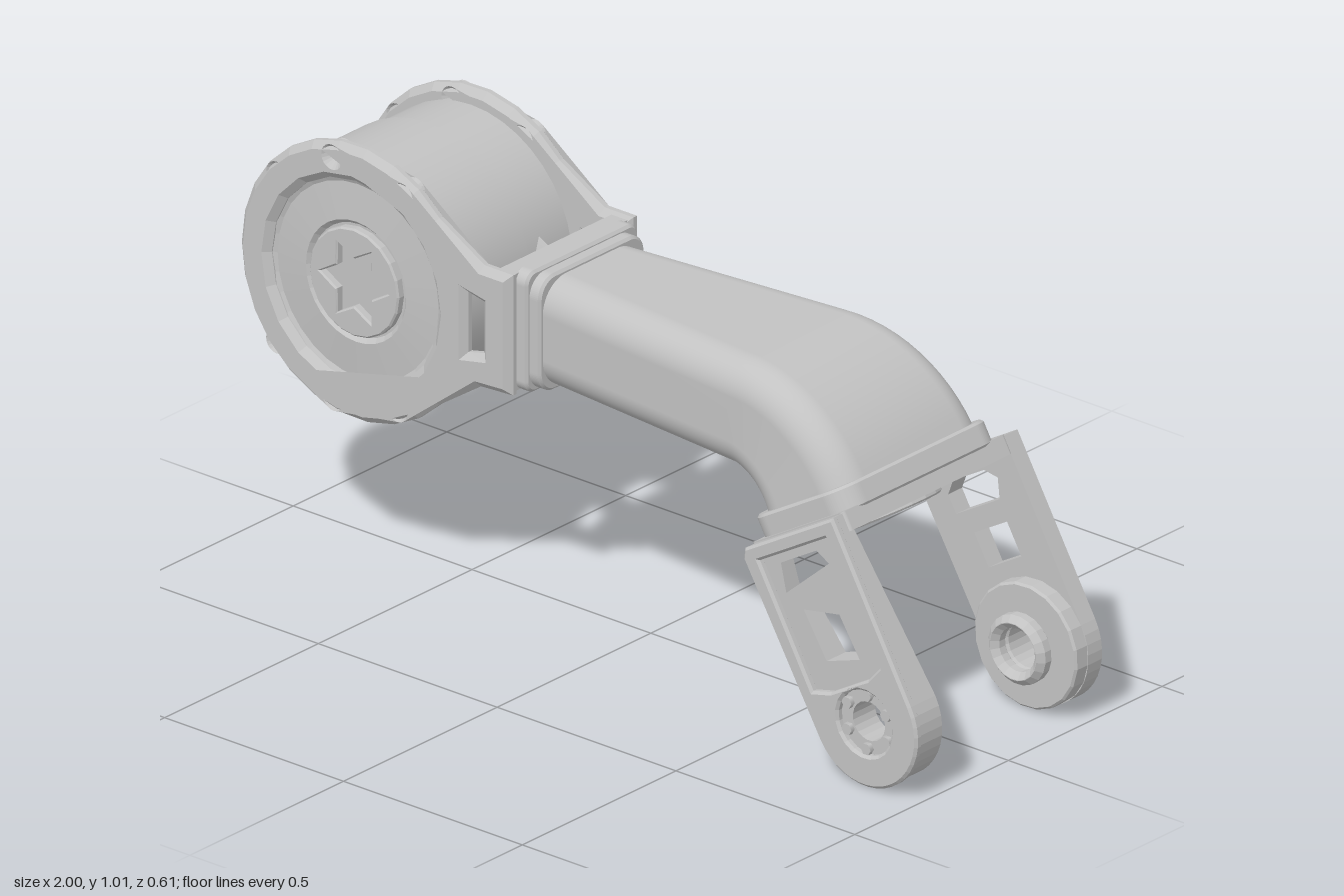
import * as THREE from 'three';

const metal = new THREE.MeshStandardMaterial({ color: 0xc2c2c2, side: THREE.DoubleSide });
metal.name = 'light grey metal';

function add(parent, name, geometry, x = 0, y = 0, z = 0) {
  const mesh = new THREE.Mesh(geometry, metal);
  mesh.name = name;
  mesh.position.set(x, y, z);
  parent.add(mesh);
  return mesh;
}

const box = (w, h, d) => new THREE.BoxGeometry(w, h, d);
const drum = (r, z0, z1, n = 40) =>
  new THREE.CylinderGeometry(r, r, z1 - z0, n).rotateX(Math.PI / 2).translate(0, 0, (z0 + z1) / 2);
const circle = (r, x = 0, y = 0) => new THREE.Path().absarc(x, y, r, 0, Math.PI * 2, true);
const polygon = (pts) => new THREE.Path(pts.map(([x, y]) => new THREE.Vector2(x, y)));

function extrude(shape, z0, z1, bevel = 0) {
  return new THREE.ExtrudeGeometry(shape, {
    depth: z1 - z0 - 2 * bevel, curveSegments: 10, bevelEnabled: bevel > 0,
    bevelSize: bevel, bevelOffset: -bevel, bevelThickness: bevel, bevelSegments: 1,
  }).translate(0, 0, z0 + bevel);
}

function disc(r, holes = []) {
  const s = new THREE.Shape().absarc(0, 0, r, 0, Math.PI * 2, false);
  s.holes.push(...holes);
  return s;
}

function roundedRect(w, h, r) {
  const s = new THREE.Shape();
  s.absarc(w - r, h - r, r, 0, Math.PI / 2, false);
  s.absarc(r - w, h - r, r, Math.PI / 2, Math.PI, false);
  s.absarc(r - w, r - h, r, Math.PI, Math.PI * 1.5, false);
  s.absarc(w - r, r - h, r, Math.PI * 1.5, Math.PI * 2, false);
  s.closePath();
  return s;
}

// Round bearing plate with an arm reaching the link, window and screw holes
function flangeShape() {
  const a = 0.75, s = new THREE.Shape();
  s.absarc(0, 0, 0.319, a, Math.PI * 2 - a, false);
  [[0.35, -0.14], [0.44, -0.135], [0.44, 0.145], [0.36, 0.145]].forEach(([x, y]) => s.lineTo(x, y));
  s.closePath();
  s.holes.push(circle(0.235), polygon([[0.315, -0.07], [0.315, 0.07], [0.36, 0.06], [0.36, -0.06]]));
  for (const deg of [60, 101, 137, 223, 260, 297]) {
    const t = deg * Math.PI / 180;
    s.holes.push(circle(0.013, Math.cos(t) * 0.285, Math.sin(t) * 0.285));
  }
  return s;
}

// Link: rounded rectangles swept along a straight run and a 60 degree bend
function linkGeometry() {
  const sections = [];
  for (const x of [-0.18, 0, 0.2, 0.395]) sections.push([x, 0.693, 0]);
  for (let i = 1; i <= 12; i++) {
    const t = (i / 12) * Math.PI / 3;
    sections.push([0.395 + 0.254 * Math.sin(t), 0.693 - 0.254 * (1 - Math.cos(t)), t]);
  }
  const pos = [], idx = [];
  sections.forEach(([x, y, t], k) => {
    const halfH = 0.127 + 0.013 * t, halfW = 0.158 + 0.096 * (x + 0.18);
    const ring = roundedRect(halfW, halfH, 0.075).getPoints(8);
    if (ring[0].distanceTo(ring[ring.length - 1]) < 1e-6) ring.pop();
    const n = ring.length;
    for (const p of ring) pos.push(x + p.y * Math.sin(t), y + p.y * Math.cos(t), p.x);
    if (k === 0) return;
    for (let j = 0; j < n; j++) {
      const a = (k - 1) * n + j, b = (k - 1) * n + (j + 1) % n;
      idx.push(a, a + n, b, b, a + n, b + n);
    }
  });
  const g = new THREE.BufferGeometry();
  g.setAttribute('position', new THREE.Float32BufferAttribute(pos, 3));
  g.setIndex(idx);
  g.computeVertexNormals();
  return g;
}

// Fork leg outline: chamfered at the plate, round at the pivot
function legShape(r, holes) {
  const s = new THREE.Shape();
  s.absarc(0, 0, r, Math.PI, Math.PI * 2, false);
  [[r, 0.435], [-r + 0.01, 0.435], [-r - 0.005, 0.415]].forEach(([x, y]) => s.lineTo(x, y));
  s.closePath();
  s.holes.push(...holes);
  return s;
}

export function createModel() {
  const model = new THREE.Group();
  model.name = 'robotArmLink';

  // Joint motor
  const joint = new THREE.Group();
  joint.name = 'motorJoint';
  joint.position.set(-0.655, 0.693, 0);
  model.add(joint);
  add(joint, 'motorBody', drum(0.291, -0.035, 0.175));
  add(joint, 'motorCover', drum(0.283, -0.185, -0.035));
  for (const s of [-1, 1]) {
    const lug = new THREE.CylinderGeometry(0.05, 0.09, 0.08, 8).scale(1, 1, 0.3).rotateZ(-s * Math.PI / 2);
    add(joint, 'sideLug', lug, s * 0.305, 0, -0.085);
  }

  // Front bearing plate with dished face and hub
  add(joint, 'frontFlange', extrude(flangeShape(), 0.17, 0.213, 0.016));
  const dish = [[0, 0.186], [0.13, 0.186], [0.14, 0.197], [0.225, 0.19], [0.255, 0.205]]
    .map(([r, y]) => new THREE.Vector2(r, y)).reverse();
  add(joint, 'frontDish', new THREE.LatheGeometry(dish, 32).rotateX(Math.PI / 2).toNonIndexed())
    .geometry.computeVertexNormals();
  const star = [];
  for (let i = 0; i < 12; i++) {
    const t = i * Math.PI / 6, r = i % 2 ? 0.055 : 0.095;
    star.push([Math.cos(t) * r, Math.sin(t) * r]);
  }
  add(joint, 'frontHub', extrude(disc(0.125, [polygon(star)]), 0.18, 0.205, 0.004));

  // Back bearing plate with spokes and a central hub
  add(joint, 'backFlange', extrude(flangeShape(), -0.222, -0.178, 0.016));
  add(joint, 'backHub', extrude(disc(0.135, [circle(0.085)]), -0.215, -0.18, 0.005));
  add(joint, 'backHubCap', drum(0.085, -0.2, -0.18, 24));
  for (let i = 0; i < 6; i++) {
    const spoke = box(0.12, 0.06, 0.028).translate(0.185, 0, -0.197).rotateZ(i * Math.PI / 3 + 0.3);
    add(joint, 'backSpoke', spoke);
  }

  // Yoke web and collar joining the bearing plates to the link
  add(model, 'yokeWeb', box(0.045, 0.272, 0.4), -0.248, 0.695, -0.004);
  const collar = (a, b, z0, z1, r) => extrude(roundedRect(a, b, r), z0, z1, 0.006).rotateY(Math.PI / 2);
  add(model, 'linkCollar', collar(0.182, 0.141, -0.235, -0.195, 0.03), 0, 0.697, -0.005);
  add(model, 'linkCollarLip', collar(0.172, 0.135, -0.2, -0.165, 0.05), 0, 0.695, -0.003);
  add(model, 'link', linkGeometry());

  // Fork, built upright about its pivot and then tilted
  const fork = new THREE.Group();
  fork.name = 'fork';
  fork.position.set(0.855, 0.147, 0);
  fork.rotation.z = Math.PI / 6;
  model.add(fork);
  const flat = (shape, y0, y1, b = 0) => extrude(shape, y0, y1, b).rotateX(-Math.PI / 2);
  add(fork, 'forkSeat', flat(roundedRect(0.152, 0.25, 0.06), 0.43, 0.487, 0.006));
  const plate = roundedRect(0.147, 0.265, 0.01);
  plate.holes.push(circle(0.105));
  add(fork, 'forkPlate', flat(plate, 0.394, 0.438));
  add(fork, 'plateRing', flat(disc(0.125, [circle(0.085)]), 0.382, 0.4, 0.004));
  add(fork, 'plateHub', flat(disc(0.05), 0.395, 0.435, 0.004));
  for (let i = 0; i < 8; i++)
    add(fork, 'plateRib', box(0.06, 0.03, 0.018).translate(0.07, 0.415, 0).rotateY(i * Math.PI / 4));

  // Front leg: raised rim over a windowed panel that thickens toward the pivot
  const windows = [
    polygon([[-0.085, 0.315], [-0.065, 0.38], [0.05, 0.38], [0.07, 0.345]]),
    polygon([[-0.05, 0.15], [-0.055, 0.27], [0.04, 0.235], [0.045, 0.13]]),
  ];
  const panel = extrude(legShape(0.143, [...windows, circle(0.045)]), 0.25, 0.285);
  const p = panel.attributes.position;
  for (let i = 0; i < p.count; i++)
    if (p.getZ(i) < 0.26) p.setZ(i, 0.253 - 0.04 * THREE.MathUtils.clamp((0.45 - p.getY(i)) / 0.4, 0, 1));
  panel.computeVertexNormals();
  add(fork, 'frontLegPanel', panel);
  const opening = polygon([[-0.11, 0.1], [-0.11, 0.4], [0.105, 0.4], [0.105, 0.1], [0.06, 0.085], [-0.06, 0.085]]);
  add(fork, 'frontLegRim', extrude(legShape(0.147, [opening, circle(0.075)]), 0.28, 0.302, 0.006));
  for (let i = 0; i < 6; i++) {
    const t = i * Math.PI / 3;
    add(fork, 'pivotScrew', drum(0.014, 0.28, 0.296, 6), Math.cos(t) * 0.062, Math.sin(t) * 0.062, 0);
  }

  // Back leg: thin windowed strip with a thick pivot and inner boss
  add(fork, 'backLeg', extrude(legShape(0.145, [
    polygon([[-0.08, 0.31], [-0.08, 0.355], [-0.05, 0.38], [0.05, 0.38], [0.08, 0.355], [0.06, 0.31]]),
    polygon([[-0.05, 0.18], [-0.05, 0.26], [0.055, 0.26], [0.055, 0.18]]), circle(0.05),
  ]), -0.305, -0.26));
  add(fork, 'backPivot', extrude(disc(0.144, [circle(0.05)]), -0.265, -0.222, 0.005));
  add(fork, 'backBoss', extrude(disc(0.08, [circle(0.05)]), -0.23, -0.183, 0.014));
  return model;
}
